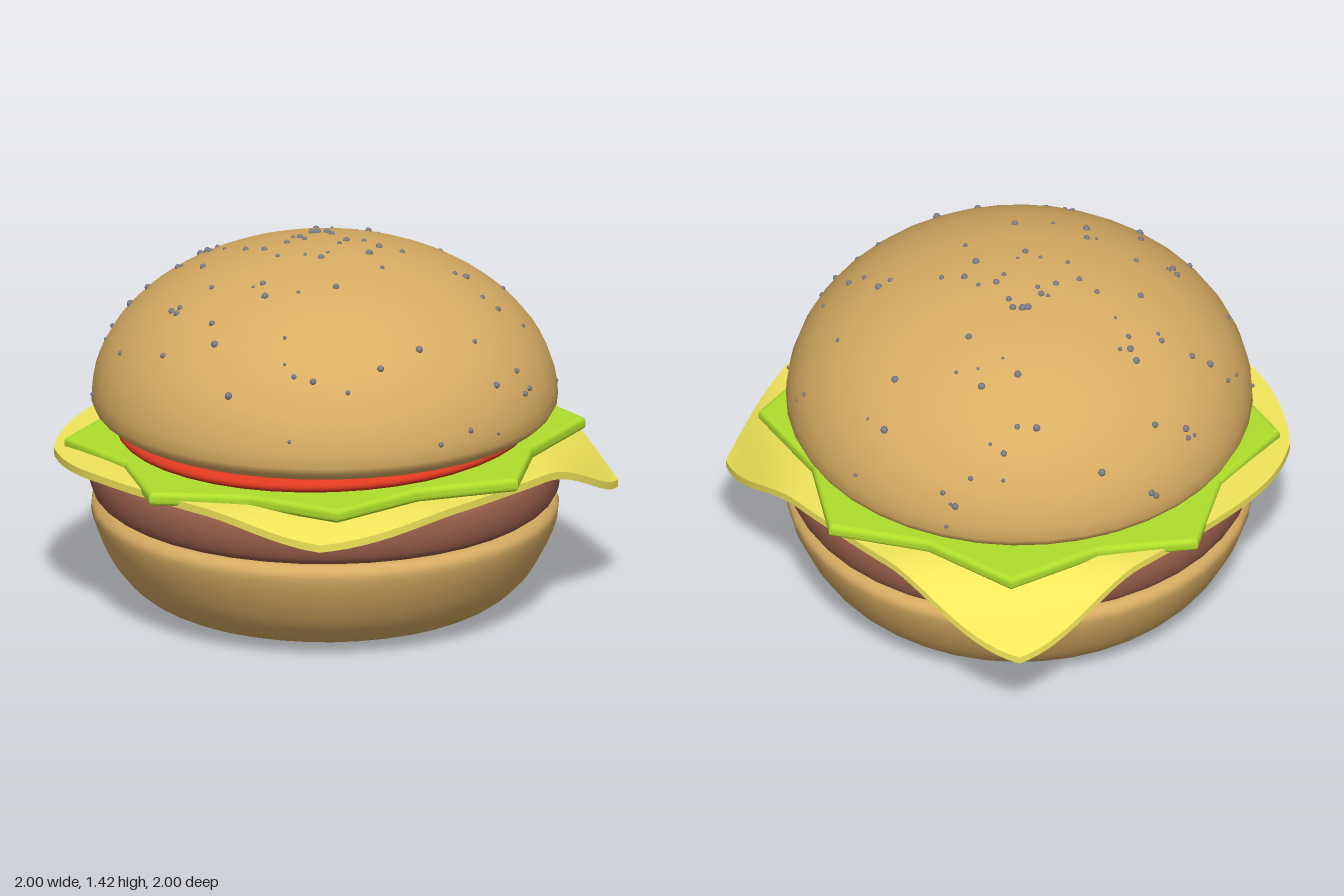
import * as THREE from 'three';
import { mergeGeometries } from 'three/addons/utils/BufferGeometryUtils.js';

const SEGMENTS = 40;

function part(name, geometry, color) {
  const mesh = new THREE.Mesh(geometry, new THREE.MeshStandardMaterial({ color }));
  mesh.name = name;
  return mesh;
}

// Round layer; profile runs from the bottom centre to the top centre
function lathe(profile) {
  return new THREE.LatheGeometry(profile.map(([r, y]) => new THREE.Vector2(r, y)), SEGMENTS);
}

// Smooth curve through a few profile points
function curve(points, n) {
  const spline = new THREE.CatmullRomCurve3(points.map(([r, y]) => new THREE.Vector3(r, y, 0)));
  return spline.getPoints(n).map((p) => [p.x, p.y]);
}

// Top bun dome: an ellipse of radius R and height H above BASE
const R = 0.895, H = 0.61, BASE = 0.8;

function topBunGeometry() {
  const profile = [[0, 0.735], [0.6, 0.735], [0.8, 0.735], [0.85, 0.745], [0.88, 0.77]];
  for (let i = 0; i <= 18; i++) {
    const a = (i / 18) * Math.PI / 2;
    profile.push([i === 18 ? 0 : R * Math.cos(a), BASE + H * Math.sin(a)]);
  }
  return lathe(profile);
}

// Small seeds scattered over the dome
function seedsGeometry() {
  let state = 7;
  const random = () => (state = (state * 16807) % 2147483647) / 2147483647;
  const seeds = [];
  for (let i = 0; i < 100; i++) {
    const a = 0.06 + 1.45 * random();
    const turn = random() * Math.PI * 2;
    const r = R * Math.cos(a);
    const seed = new THREE.SphereGeometry(0.006 + 0.009 * random(), 10, 8);
    seed.translate(r * Math.cos(turn), BASE + H * Math.sin(a), r * Math.sin(turn));
    seeds.push(seed);
  }
  return mergeGeometries(seeds);
}

// Eight-pointed leaf with a rounded rim
function lettuceGeometry() {
  const shape = new THREE.Shape();
  for (let i = 0; i < 16; i++) {
    const a = (i * Math.PI) / 8;
    const r = i % 2 ? 0.85 : 1.0;
    shape[i ? 'lineTo' : 'moveTo'](r * Math.cos(a), r * Math.sin(a));
  }
  shape.closePath();
  const geometry = new THREE.ExtrudeGeometry(shape, {
    depth: 0.014, bevelThickness: 0.02, bevelSize: 0.02, bevelOffset: -0.02, bevelSegments: 4,
  });
  return geometry.translate(0, 0, -0.007).rotateX(-Math.PI / 2);
}

// Square slice with bulging sides, its four corners hanging down by different amounts
function cheeseGeometry() {
  const geometry = new THREE.BoxGeometry(2, 0.03, 2, 40, 1, 40);
  const p = geometry.attributes.position;
  for (let i = 0; i < p.count; i++) {
    const u = p.getX(i), v = p.getZ(i);
    const corner = u > 0
      ? (v > 0 ? { x: 0.79, z: 0.8, drop: 0.19 } : { x: 0.76, z: 0.81, drop: 0.25 })
      : (v > 0 ? { x: 0.83, z: 0.73, drop: 0.06 } : { x: 0.72, z: 0.75, drop: 0.03 });
    const x = u * (0.935 - (0.935 - corner.x) * Math.abs(v) ** 3);
    const z = v * (0.93 - (0.93 - corner.z) * Math.abs(u) ** 3);
    const sag = corner.drop * THREE.MathUtils.smoothstep(Math.abs(u * v), 0.3, 1.05);
    p.setXYZ(i, x, 0.622 + p.getY(i) - sag, z);
  }
  geometry.computeVertexNormals();
  return geometry;
}

export function createModel() {
  const model = new THREE.Group();
  model.name = 'burger';

  const bottomBun = part('bottomBun', lathe([
    [0, 0],
    ...curve([[0.5, 0], [0.58, 0.008], [0.7, 0.05], [0.79, 0.13], [0.86, 0.25], [0.895, 0.35], [0.895, 0.385], [0.87, 0.418]], 24),
    [0, 0.418],
  ]), 0xd9ad63);

  const patty = part('patty', lathe([
    [0, 0.415],
    ...curve([[0.86, 0.415], [0.89, 0.44], [0.905, 0.51], [0.89, 0.575], [0.85, 0.608]], 14),
    [0, 0.608],
  ]), 0x965c49);

  const cheese = part('cheese', cheeseGeometry(), 0xf2e65a);

  // Leaf and tomato lean a little towards the back corner
  const lettuce = part('lettuce', lettuceGeometry(), 0xaede2c);
  lettuce.position.y = 0.652;
  lettuce.rotation.set(-0.019, 0, 0.017);

  const tomato = part('tomato', lathe([
    [0, -0.028],
    ...curve([[0.77, -0.028], [0.795, -0.015], [0.802, 0], [0.795, 0.015], [0.77, 0.028]], 10),
    [0, 0.028],
  ]), 0xe23a20);
  tomato.position.y = 0.706;
  tomato.rotation.set(-0.017, 0, 0.019);

  // Bun lid with its seeds, tipped very slightly
  const lid = new THREE.Group();
  lid.name = 'lid';
  lid.add(part('topBun', topBunGeometry(), 0xd9ad63), part('seeds', seedsGeometry(), 0x7c7c86));
  lid.rotation.set(-0.008, 0, -0.006);

  model.add(bottomBun, patty, cheese, lettuce, tomato, lid);
  return model;
}
